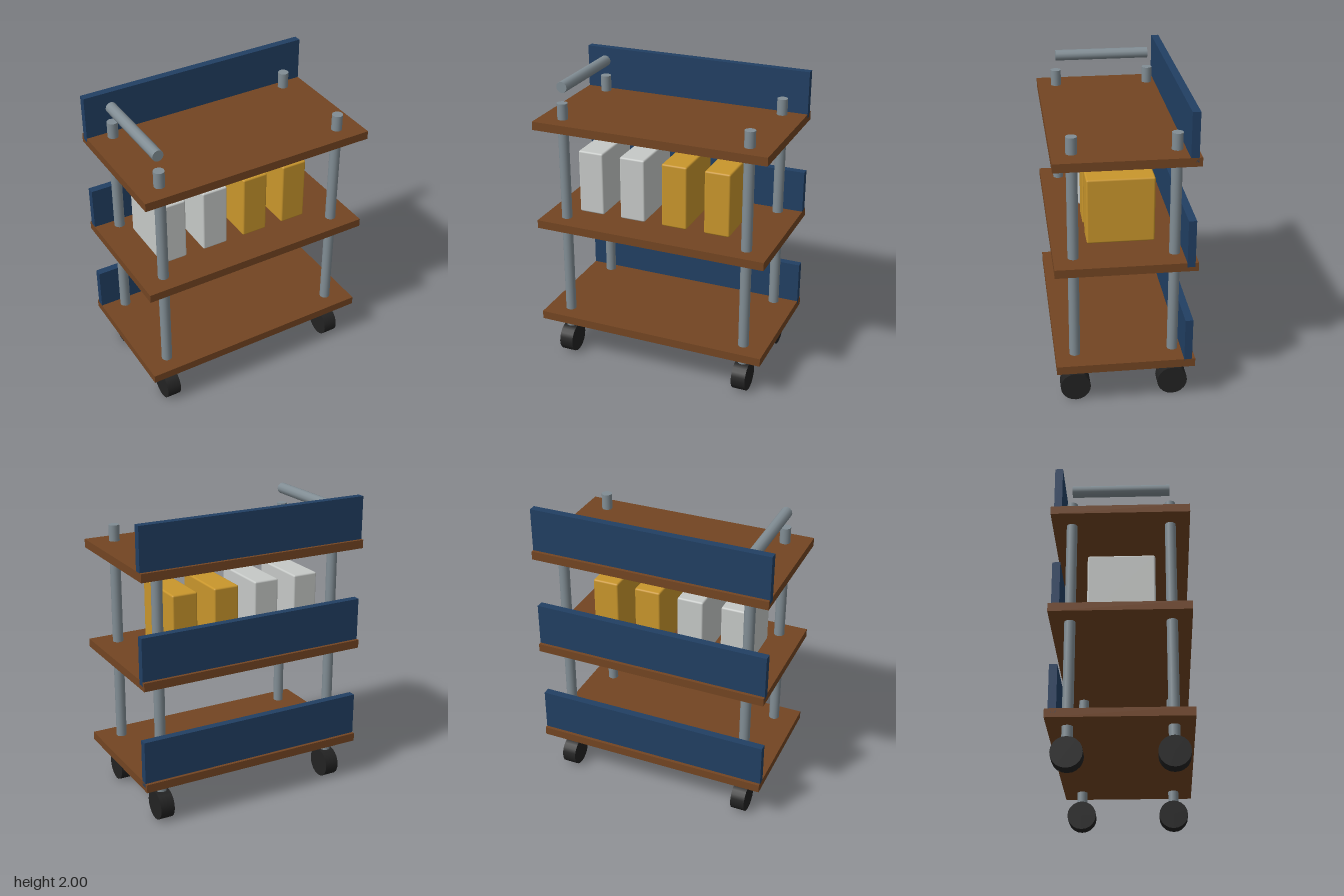
import * as THREE from 'three';
import { RoundedBoxGeometry } from 'three/addons/geometries/RoundedBoxGeometry.js';

const material = (name, color) => {
  const m = new THREE.MeshStandardMaterial({ color });
  m.name = name;
  return m;
};

export function createModel() {
  const wood = material('brown wood', 0x734522);
  const navy = material('navy panel', 0x213f63);
  const steel = material('grey steel', 0x818d94);
  const rubber = material('black rubber', 0x222222);
  const white = material('pale grey box', 0xc6c9c7);
  const gold = material('gold box', 0xc9962c);

  const model = new THREE.Group();
  model.name = 'shelfTrolley';
  const add = (name, geometry, mat, x, y, z) => {
    const mesh = new THREE.Mesh(geometry, mat);
    mesh.name = name;
    mesh.position.set(x, y, z);
    model.add(mesh);
    return mesh;
  };

  // Three shelves, each with an upright panel along the back
  const shelf = new THREE.BoxGeometry(1.58, 0.056, 0.885);
  const panel = new THREE.BoxGeometry(1.58, 0.312, 0.05);
  [0.3, 0.994, 1.688].forEach((y, i) => {
    add(`shelf${i + 1}`, shelf, wood, 0, y, 0);
    add(`backPanel${i + 1}`, panel, navy, 0, y + 0.156, -0.396);
  });

  // Corner posts standing on wheels
  const post = new THREE.CylinderGeometry(0.035, 0.035, 1.625, 16);
  const wheel = new THREE.CylinderGeometry(0.098, 0.098, 0.096, 20).rotateZ(Math.PI / 2);
  for (const sx of [-1, 1]) {
    for (const sz of [-1, 1]) {
      const corner = (sz > 0 ? 'Front' : 'Back') + (sx > 0 ? 'Left' : 'Right');
      add('post' + corner, post, steel, sx * 0.634, 1.01, sz * 0.317);
      add('wheel' + corner, wheel, rubber, sx * 0.634, 0.098, sz * 0.317);
    }
  }

  // Push handle over the right-hand posts
  const handle = new THREE.CylinderGeometry(0.037, 0.037, 0.634, 12).rotateX(Math.PI / 2);
  add('pushHandle', handle, steel, -0.634, 1.925, 0);

  // Row of boxes on the middle shelf
  const box = new RoundedBoxGeometry(0.176, 0.436, 0.434, 2, 0.012);
  [-0.498, -0.2, 0.097, 0.393].forEach((x, i) => {
    add(`storageBox${i + 1}`, box, i < 2 ? white : gold, x, 1.249, 0);
  });

  return model;
}
